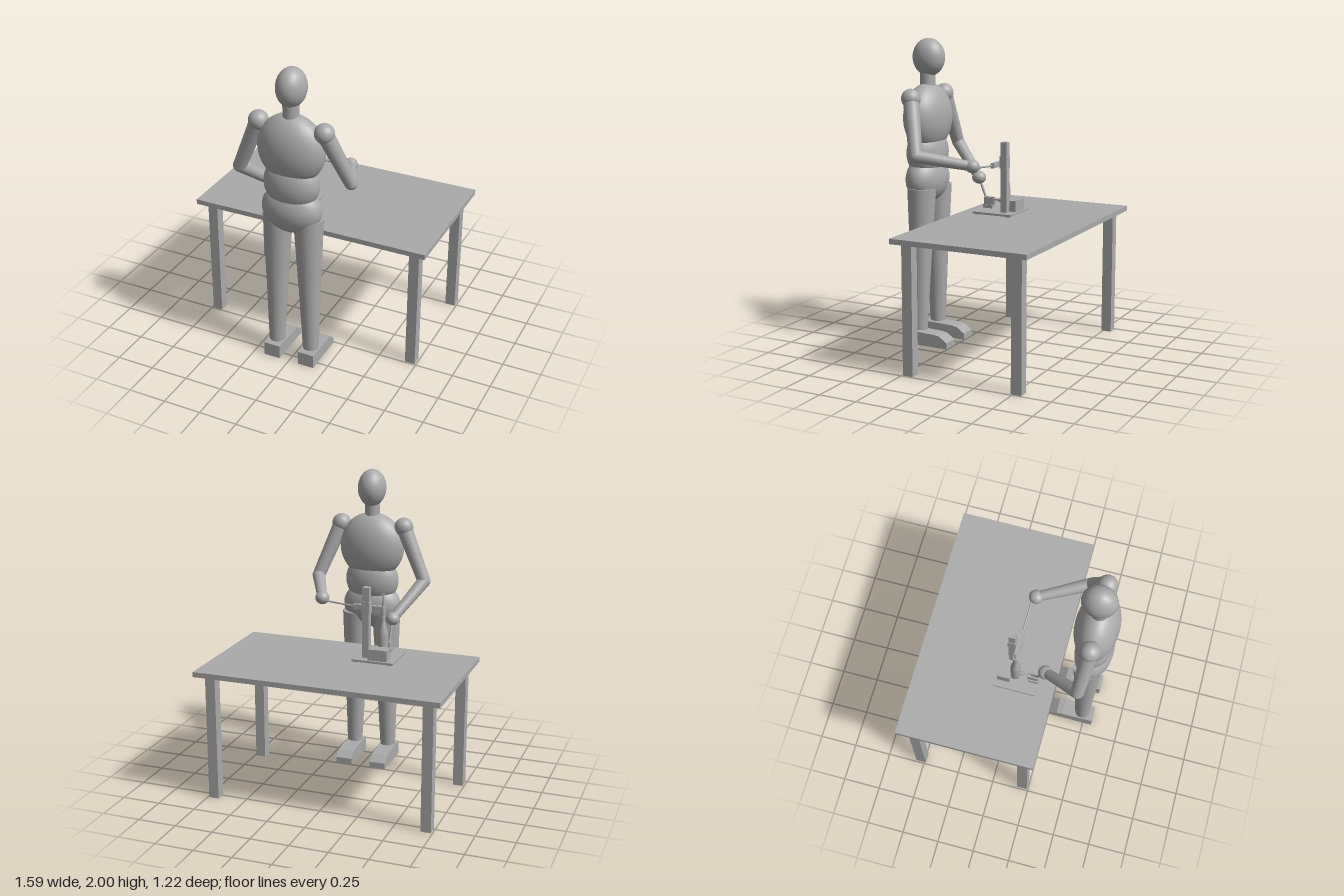
import * as THREE from 'three';

export function createModel() {
  const root = new THREE.Group();
  root.name = 'workerAtBench';
  const grey = new THREE.MeshStandardMaterial({ color: 0xaaaaaa });
  grey.name = 'plainGrey';
  const V = (a) => new THREE.Vector3(...a);

  const add = (name, geometry, parent = root) => {
    const mesh = new THREE.Mesh(geometry, grey);
    mesh.name = name;
    parent.add(mesh);
    return mesh;
  };
  const group = (name) => {
    const g = new THREE.Group();
    g.name = name;
    root.add(g);
    return g;
  };
  // box given by its limits on each axis
  const box = (name, [x0, x1], [y0, y1], [z0, z1], parent) => {
    const m = add(name, new THREE.BoxGeometry(x1 - x0, y1 - y0, z1 - z0), parent);
    m.position.set((x0 + x1) / 2, (y0 + y1) / 2, (z0 + z1) / 2);
    return m;
  };
  const ellipsoid = (name, p, r, parent) => {
    const m = add(name, new THREE.SphereGeometry(1, 40, 28), parent);
    m.position.set(...p);
    m.scale.set(...r);
    return m;
  };
  // tapered round bar from a to b
  const bar = (name, a, b, ra, rb, parent, sides = 28) => {
    const p = V(a), q = V(b), d = q.clone().sub(p);
    const m = add(name, new THREE.CylinderGeometry(rb, ra, d.length(), sides), parent);
    m.position.copy(p).add(q).multiplyScalar(0.5);
    m.quaternion.setFromUnitVectors(new THREE.Vector3(0, 1, 0), d.normalize());
    return m;
  };

  // table
  const table = group('table');
  box('tableTop', [-0.795, 0.795], [0.827, 0.86], [-0.612, 0.293], table);
  for (const x of [-0.707, 0.707]) {
    for (const z of [-0.522, 0.208]) {
      box('tableLeg', [x - 0.033, x + 0.033], [0, 0.827], [z - 0.034, z + 0.034], table);
    }
  }

  // head and torso
  const body = group('figure');
  ellipsoid('head', [0, 1.878, 0.464], [0.091, 0.122, 0.109], body);
  bar('neck', [0, 1.66, 0.474], [0, 1.82, 0.474], 0.05, 0.05, body);
  ellipsoid('chest', [0, 1.491, 0.474], [0.218, 0.222, 0.136], body);
  ellipsoid('abdomen', [0, 1.262, 0.479], [0.18, 0.17, 0.121], body);
  ellipsoid('pelvis', [0, 1.09, 0.481], [0.196, 0.156, 0.122], body);

  // legs and feet
  const sole = new THREE.Shape();
  sole.moveTo(-0.56, 0);
  sole.lineTo(-0.254, 0);
  sole.lineTo(-0.254, 0.04);
  sole.lineTo(-0.307, 0.078);
  sole.lineTo(-0.35, 0.085);
  sole.lineTo(-0.56, 0.092);
  for (const s of [-1, 1]) {
    bar('thigh', [s * 0.112, 0.573, 0.474], [s * 0.104, 1.04, 0.467], 0.071, 0.094, body);
    bar('shin', [s * 0.12, 0.1, 0.481], [s * 0.112, 0.573, 0.474], 0.051, 0.07, body);
    const foot = add('foot', new THREE.ExtrudeGeometry(sole, { depth: 0.108, bevelEnabled: false }), body);
    foot.rotation.y = Math.PI / 2;
    foot.position.x = s * 0.12 - 0.054;
  }

  // arms
  const arm = (side, shoulder, elbow, hand) => {
    const g = group(side + 'Arm');
    ellipsoid('shoulder', shoulder, [0.062, 0.062, 0.062], g);
    bar('upperArm', shoulder, elbow, 0.052, 0.042, g);
    ellipsoid('elbow', elbow, [0.042, 0.042, 0.042], g);
    bar('forearm', elbow, hand, 0.042, 0.031, g);
    ellipsoid('hand', hand, [0.045, 0.042, 0.047], g);
  };
  arm('right', [-0.217, 1.63, 0.474], [-0.367, 1.285, 0.453], [-0.23, 1.078, 0.222]);
  arm('left', [0.215, 1.63, 0.474], [0.34, 1.285, 0.37], [0.19, 1.224, 0.05]);

  // bench press base
  const press = group('benchPress');
  box('basePlate', [-0.335, -0.06], [0.867, 0.881], [-0.093, 0.183], press);
  for (const x of [-0.31, -0.085]) {
    for (const z of [-0.068, 0.158]) {
      bar('baseFoot', [x, 0.86, z], [x, 0.868, z], 0.015, 0.015, press);
    }
  }
  box('rearBlock', [-0.29, -0.165], [0.881, 0.953], [-0.078, 0.002], press);

  // upright column with its collar
  box('column', [-0.156, -0.112], [0.881, 1.34], [-0.037, 0.006], press);
  box('columnCollar', [-0.16, -0.108], [1.17, 1.25], [-0.041, 0.01], press);

  // lever held in the left hand
  box('leverArm', [-0.235, -0.034], [1.18, 1.212], [0.012, 0.038], press);
  bar('leverPivot', [-0.134, 1.196, 0.0], [-0.134, 1.196, 0.05], 0.012, 0.012, press);
  bar('leverHandle', [-0.034, 1.197, 0.026], [0.19, 1.215, 0.03], 0.006, 0.006, press, 12);

  // bottle and plunger
  const outline = [[0, 0.881], [0.031, 0.881], [0.033, 0.89], [0.033, 1.02], [0.029, 1.055],
    [0.016, 1.1], [0.012, 1.13], [0.012, 1.165], [0, 1.165]];
  const bottle = add('bottle', new THREE.LatheGeometry(outline.map((p) => new THREE.Vector2(...p)), 28), press);
  bottle.position.set(-0.23, 0, 0.028);
  bar('plungerCap', [-0.23, 1.15, 0.028], [-0.23, 1.21, 0.028], 0.016, 0.016, press);
  bar('plungerRod', [-0.23, 1.2, 0.028], [-0.23, 1.295, 0.028], 0.007, 0.007, press, 12);

  // front toggle clamp held in the right hand
  box('clampFoot', [-0.255, -0.205], [0.881, 0.905], [0.115, 0.18], press);
  for (const x of [-0.246, -0.222]) {
    box('clampCheek', [x, x + 0.01], [0.9, 0.952], [0.11, 0.175], press);
  }
  bar('clampRod', [-0.229, 0.94, 0.13], [-0.229, 0.94, 0.06], 0.007, 0.007, press, 12);
  bar('clampPad', [-0.229, 0.94, 0.075], [-0.229, 0.94, 0.058], 0.014, 0.014, press);
  bar('clampHandle', [-0.229, 0.935, 0.165], [-0.23, 1.07, 0.218], 0.008, 0.008, press, 12);

  return root;
}
